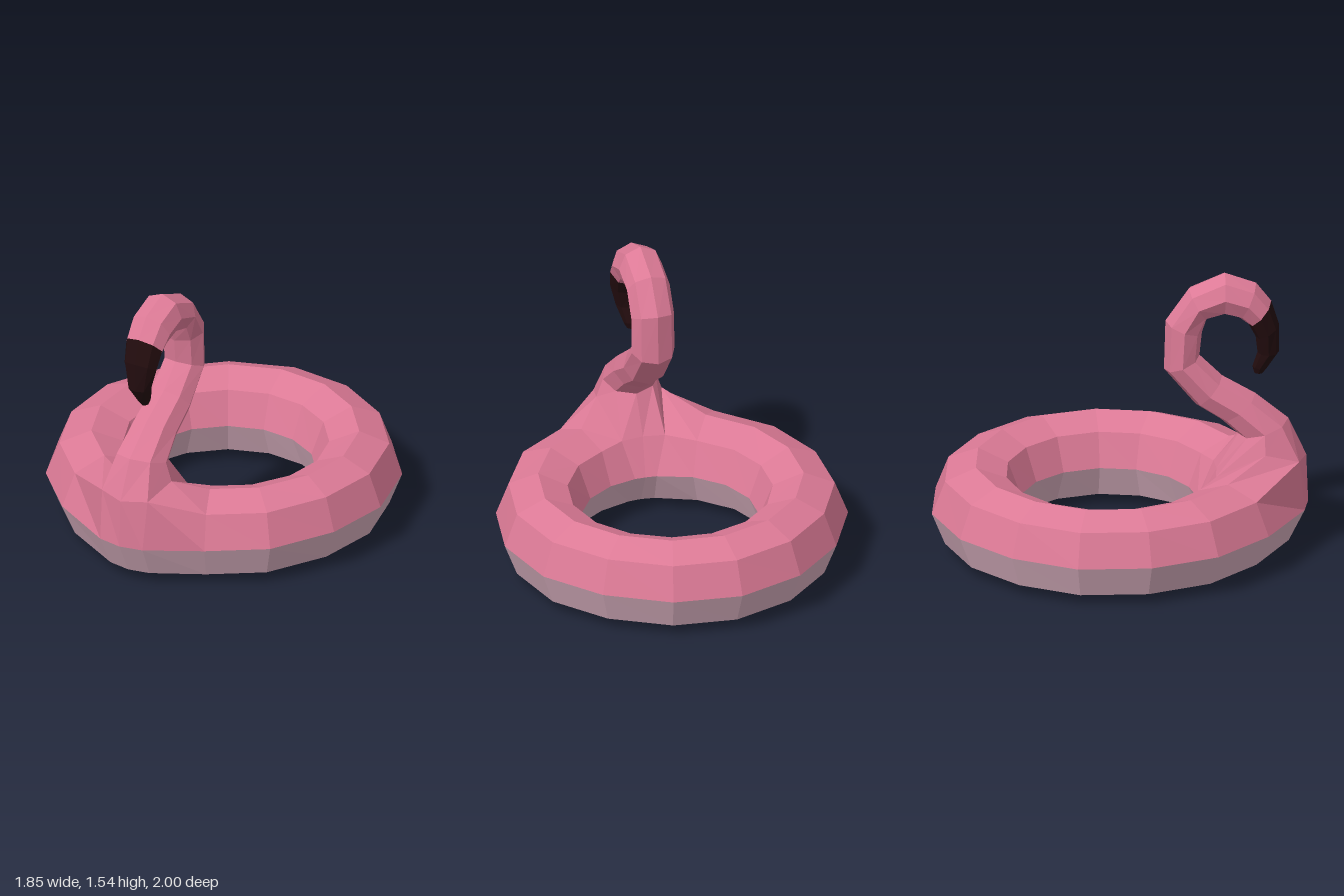
import * as THREE from 'three';

const pink = new THREE.MeshStandardMaterial({ color: 0xdc7a96 });
pink.name = 'flamingoPink';
const pale = new THREE.MeshStandardMaterial({ color: 0xd2aab9 });
pale.name = 'paleBelly';
const dark = new THREE.MeshStandardMaterial({ color: 0x220c0e });
dark.name = 'beakBlack';

const MID_X = -0.027; // the neck sits slightly off centre

// Faceted mesh from a list of quads (four corners) and triangles (three corners)
function facetMesh(name, faces, material) {
  const pos = [];
  for (const f of faces) {
    for (let i = 1; i < f.length - 1; i++) pos.push(...f[0], ...f[i], ...f[i + 1]);
  }
  const geo = new THREE.BufferGeometry();
  geo.setAttribute('position', new THREE.Float32BufferAttribute(pos, 3));
  geo.computeVertexNormals();
  const mesh = new THREE.Mesh(geo, material);
  mesh.name = name;
  return mesh;
}

// Outer rim of the float, x and z, from the back round by the left side
const RIM = [
  [-0.11, -1.0], [0.26, -0.96], [0.59, -0.77], [0.83, -0.48], [0.925, -0.1], [0.86, 0.27],
  [0.67, 0.61], [0.385, 0.81], [0.1, 0.97], [MID_X, 0.995], [-0.16, 0.97], [-0.52, 0.76],
  [-0.79, 0.48], [-0.925, 0.12], [-0.92, -0.27], [-0.75, -0.61], [-0.47, -0.87],
];
const LEFT = 8, CENTRE = 9, RIGHT = 10; // stations that carry the neck

// Octagonal section: 0 outer, 2 top, 4 inner, 6 bottom
const ACROSS = [1, 0.85, 0.5, 0.15, 0, 0.15, 0.5, 0.85];
const HEIGHT = [0.235, 0.415, 0.482, 0.415, 0.235, 0.06, 0, 0.06];

function ringStations() {
  const cz = -0.06, inner = 0.475;
  const st = RIM.map(([x, z]) => {
    const r = Math.hypot(x, z - cz);
    return ACROSS.map((t, j) => {
      const s = (inner + (r - inner) * t) / r;
      return [x * s, HEIGHT[j], cz + (z - cz) * s];
    });
  });
  // Raise the front into the chest
  st[CENTRE][1] = [MID_X, 0.5, 0.985];
  st[CENTRE][3] = [MID_X, 0.43, 0.51];
  for (const [i, side] of [[LEFT, 1], [RIGHT, -1]]) {
    st[i][1] = [MID_X + side * 0.14, 0.512, 0.94];
    st[i][2] = [MID_X + side * 0.18, 0.568, 0.76];
    st[i][3] = [MID_X + side * 0.12, 0.425, 0.5];
  }
  return st;
}

// Neck and head sections: front z, y; back z, y; half width
const NECK = [
  [0.89, 0.71, 0.626, 0.626, 0.145],
  [0.716, 0.855, 0.535, 0.71, 0.127],
  [0.54, 0.96, 0.40, 0.80, 0.12],
  [0.42, 1.08, 0.232, 1.005, 0.118],
  [0.433, 1.21, 0.24, 1.28, 0.118],
  [0.46, 1.29, 0.364, 1.46, 0.118],
  [0.55, 1.31, 0.555, 1.545, 0.118],
  [0.63, 1.29, 0.72, 1.485, 0.118],
  [0.68, 1.25, 0.80, 1.38, 0.11],
];
const BEAK = [
  NECK[NECK.length - 1],
  [0.717, 1.18, 0.84, 1.25, 0.098],
  [0.727, 1.09, 0.84, 1.09, 0.065],
  [0.70, 1.01, 0.775, 0.995, 0.036],
  [0.71, 0.972, 0.755, 0.97, 0.02],
];

const section = ([fz, fy, bz, by, w]) => Array.from({ length: 8 }, (_, k) => {
  const a = (k * Math.PI) / 4, c = Math.cos(a) / 2;
  return [MID_X + w * Math.sin(a), (fy + by) / 2 + (fy - by) * c, (fz + bz) / 2 + (fz - bz) * c];
});

function loft(loops) {
  const faces = [];
  for (let i = 0; i < loops.length - 1; i++) {
    for (let k = 0; k < 8; k++) {
      const n = (k + 1) % 8;
      faces.push([loops[i][k], loops[i][n], loops[i + 1][n], loops[i + 1][k]]);
    }
  }
  return faces;
}

export function createModel() {
  const group = new THREE.Group();
  group.name = 'flamingoFloat';
  const st = ringStations();

  // Float ring: pink upper half, pale lower half, open where the neck joins
  const upper = [], lower = [];
  st.forEach((s, i) => {
    const next = st[(i + 1) % st.length];
    for (let j = 0; j < 8; j++) {
      if ((i === LEFT || i === CENTRE) && (j === 1 || j === 2)) continue;
      const m = (j + 1) % 8;
      (j < 4 ? upper : lower).push([s[j], s[m], next[m], next[j]]);
    }
  });
  group.add(facetMesh('ringUpper', upper, pink), facetMesh('ringLower', lower, pale));

  // Neck and head, growing out of the opening
  const L = st[LEFT], C = st[CENTRE], R = st[RIGHT];
  const base = [C[1], L[1], L[2], L[3], C[3], R[3], R[2], R[1]];
  group.add(facetMesh('neckAndHead', loft([base, ...NECK.map(section)]), pink));

  // Hooked beak with a closed tip
  const beak = BEAK.map(section);
  group.add(facetMesh('beak', [...loft(beak), beak[beak.length - 1]], dark));

  return group;
}
